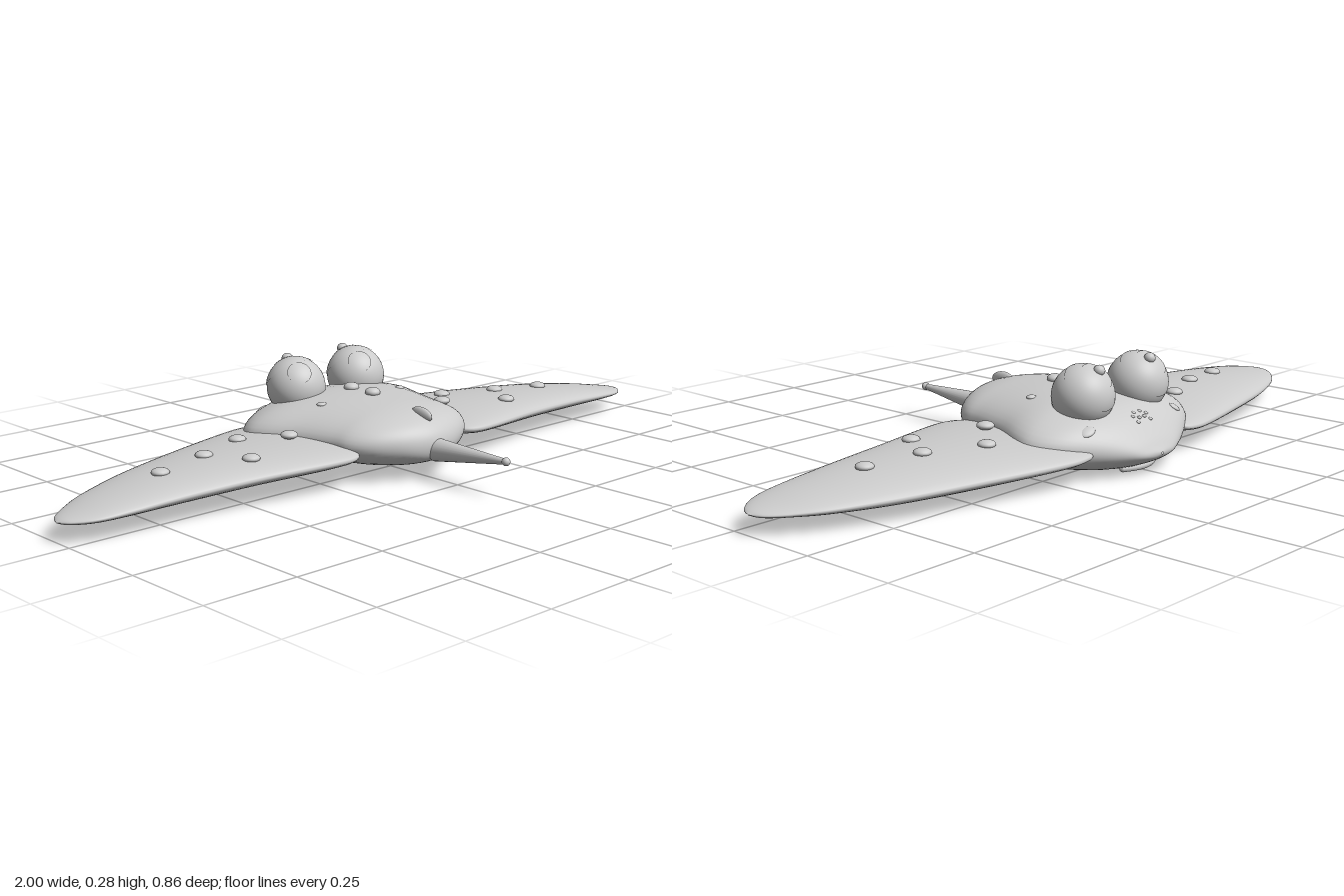
import * as THREE from 'three';

const skin = new THREE.MeshStandardMaterial({ color: 0xcccccc });
skin.name = 'pale grey';

// Smoothly resamples table rows; every column is interpolated along the rows.
function resample(rows, steps) {
  const cols = rows[0].map((_, c) =>
    new THREE.CatmullRomCurve3(rows.map((r, i) => new THREE.Vector3(i, r[c], 0)), false, 'catmullrom', 0.5));
  return Array.from({ length: steps + 1 }, (_, i) => cols.map(c => c.getPoint(i / steps).y));
}

// Closed skin through equal-sized rings of points.
function loft(rings) {
  const n = rings[0].length, pos = rings.flat(2), idx = [];
  for (let i = 0; i < rings.length - 1; i++) {
    for (let j = 0; j < n; j++) {
      const k = (j + 1) % n, a = i * n + j, b = i * n + k;
      idx.push(a, b, a + n, b, b + n, a + n);
    }
  }
  const geo = new THREE.BufferGeometry();
  geo.setAttribute('position', new THREE.Float32BufferAttribute(pos, 3));
  geo.setIndex(idx);
  geo.computeVertexNormals();
  return geo;
}

const ring = (n, f) => Array.from({ length: n }, (_, j) => f(Math.cos(j / n * Math.PI * 2), Math.sin(j / n * Math.PI * 2)));

// z, half width, top, bottom
const BODY = [
  [-0.428, 0.004, 0.058, 0.052], [-0.42, 0.055, 0.07, 0.042], [-0.4, 0.105, 0.098, 0.03],
  [-0.36, 0.18, 0.137, 0.014], [-0.31, 0.252, 0.164, 0.004], [-0.25, 0.295, 0.178, 0.001],
  [-0.19, 0.29, 0.187, 0.003], [-0.1, 0.25, 0.189, 0.01], [0, 0.222, 0.184, 0.018],
  [0.06, 0.208, 0.178, 0.025], [0.11, 0.17, 0.168, 0.033], [0.15, 0.115, 0.152, 0.045],
  [0.175, 0.06, 0.128, 0.06], [0.187, 0.004, 0.098, 0.092],
];

// x, leading z, trailing z, top, bottom
const WING = [
  [0.15, -0.26, 0.0, 0.09, 0.08], [0.18, -0.35, 0.07, 0.1, 0.057], [0.22, -0.367, 0.107, 0.106, 0.045],
  [0.3, -0.357, 0.107, 0.11, 0.037], [0.5, -0.303, 0.073, 0.107, 0.031], [0.7, -0.243, 0.05, 0.096, 0.03],
  [0.85, -0.182, 0.037, 0.08, 0.034], [0.93, -0.133, 0.021, 0.068, 0.038],
  [0.98, -0.09, -0.013, 0.059, 0.042], [1, -0.053, -0.047, 0.051, 0.049],
];

function wingGeometry(side) {
  const rings = resample(WING, 48).map(([x, lead, trail, top, bottom]) =>
    ring(40, (c, s) => [side * x, (top + bottom) / 2 - s * (top - bottom) / 2 + c * (top - bottom) * 0.1,
      (lead + trail) / 2 + c * (trail - lead) / 2]));
  if (side < 0) rings.reverse();
  return loft(rings);
}

// Interpolated row of a table at a given first-column value.
function rowAt(rows, v) {
  const i = Math.max(1, rows.findIndex(r => r[0] >= v)), a = rows[i - 1], b = rows[i];
  return a.map((x, c) => x + (b[c] - x) * (v - a[0]) / (b[0] - a[0]));
}

function wingTop(x, z) {
  const [, lead, trail, top, bottom] = rowAt(WING, x);
  const c = (z - (lead + trail) / 2) / ((trail - lead) / 2);
  return (top + bottom) / 2 + Math.sqrt(1 - c * c) * (top - bottom) / 2 + c * (top - bottom) * 0.1;
}

function bodyTop(x, z) {
  const [, w, top, bottom] = rowAt(BODY, z);
  return (top + bottom) / 2 + Math.sqrt(Math.max(0, 1 - (x / w) ** 2)) * (top - bottom) / 2;
}

export function createModel() {
  const model = new THREE.Group();
  model.name = 'ray';

  const add = (name, geo, x = 0, y = 0, z = 0, parent = model) => {
    const mesh = new THREE.Mesh(geo, skin);
    mesh.name = name;
    mesh.position.set(x, y, z);
    parent.add(mesh);
    return mesh;
  };
  const blob = (name, x, y, z, rx, ry, rz, parent) => {
    const mesh = add(name, new THREE.SphereGeometry(1, 20, 14), x, y, z, parent);
    mesh.scale.set(rx, ry, rz);
    return mesh;
  };

  // Body
  add('body', loft(resample(BODY, 60).map(([z, w, top, bottom]) =>
    ring(48, (c, s) => [c * w, (top + bottom) / 2 + s * (top - bottom) / 2, z]))));

  const up = new THREE.Vector3(0, 1, 0);
  for (const side of [1, -1]) {
    const label = side > 0 ? 'left' : 'right';
    add(label + 'Wing', wingGeometry(side));

    // Raised spots on the wing
    for (const [x, z] of [[0.28, -0.085], [0.375, -0.18], [0.465, -0.01], [0.53, -0.117], [0.685, -0.085]])
      blob(label + 'WingSpot', side * x, Math.max(wingTop(x, z), x < 0.3 ? 0.118 : 0) + 0.003, z, 0.023, 0.011, 0.023);

    // Eye with iris and pupil caps, shine and a small nub
    const eye = new THREE.Group();
    eye.name = label + 'Eye';
    eye.position.set(side * 0.109, 0.194, -0.258);
    model.add(eye);
    add('eyeball', new THREE.SphereGeometry(0.08, 32, 24), 0, 0, 0, eye);
    const cap = (name, r, angle, dir) => add(name, new THREE.SphereGeometry(r, 32, 12, 0, Math.PI * 2, 0, angle), 0, 0, 0, eye)
      .quaternion.setFromUnitVectors(up, new THREE.Vector3(...dir).normalize());
    cap('iris', 0.082, 1.15, [0, 0.72, -0.69]);
    cap('pupil', 0.0835, 0.55, [0, 0.78, -0.62]);
    cap('eyeShine', 0.0835, 0.4, [-0.4, 0.64, 0.66]);
    blob('eyeNub', side * -0.008, 0.07, -0.046, 0.015, 0.014, 0.015, eye);

    // Cheek patch and small back bump
    const cheek = blob(label + 'Cheek', side * 0.175, bodyTop(0.175, -0.33), -0.33, 0.022, 0.006, 0.015);
    cheek.rotation.set(-0.5, 0, side * -0.4);
    blob(label + 'BackBump', side * 0.142, bodyTop(0.142, -0.115), -0.115, 0.014, 0.006, 0.012);

    // Snout freckles
    for (const [x, z] of [[0.012, -0.342], [0.026, -0.352], [0.01, -0.36], [0.024, -0.368]])
      blob('freckle', side * x, bodyTop(x, z), z, 0.006, 0.004, 0.006);
  }

  // Spots along the spine
  for (const z of [-0.155, -0.07]) blob('spineSpot', 0, 0.192, z, 0.021, 0.013, 0.021);

  // Small dorsal fin
  blob('dorsalFin', 0, 0.164, 0.118, 0.011, 0.019, 0.037).rotation.x = 0.1;

  // Tail and its tip
  const tail = add('tail', new THREE.CylinderGeometry(0.007, 0.031, 0.245, 24), 0, 0.088, 0.295);
  tail.rotation.x = Math.PI / 2 - 0.065;
  blob('tailTip', 0, 0.096, 0.416, 0.011, 0.011, 0.011);

  // Smiling mouth under the snout
  const smile = new THREE.QuadraticBezierCurve3(new THREE.Vector3(-0.06, 0.012, -0.35),
    new THREE.Vector3(0, 0.012, -0.385), new THREE.Vector3(0.06, 0.012, -0.35));
  add('mouth', new THREE.TubeGeometry(smile, 20, 0.009, 10));
  for (const x of [-0.06, 0.06]) blob('mouthCorner', x, 0.012, -0.35, 0.009, 0.009, 0.009);

  return model;
}
